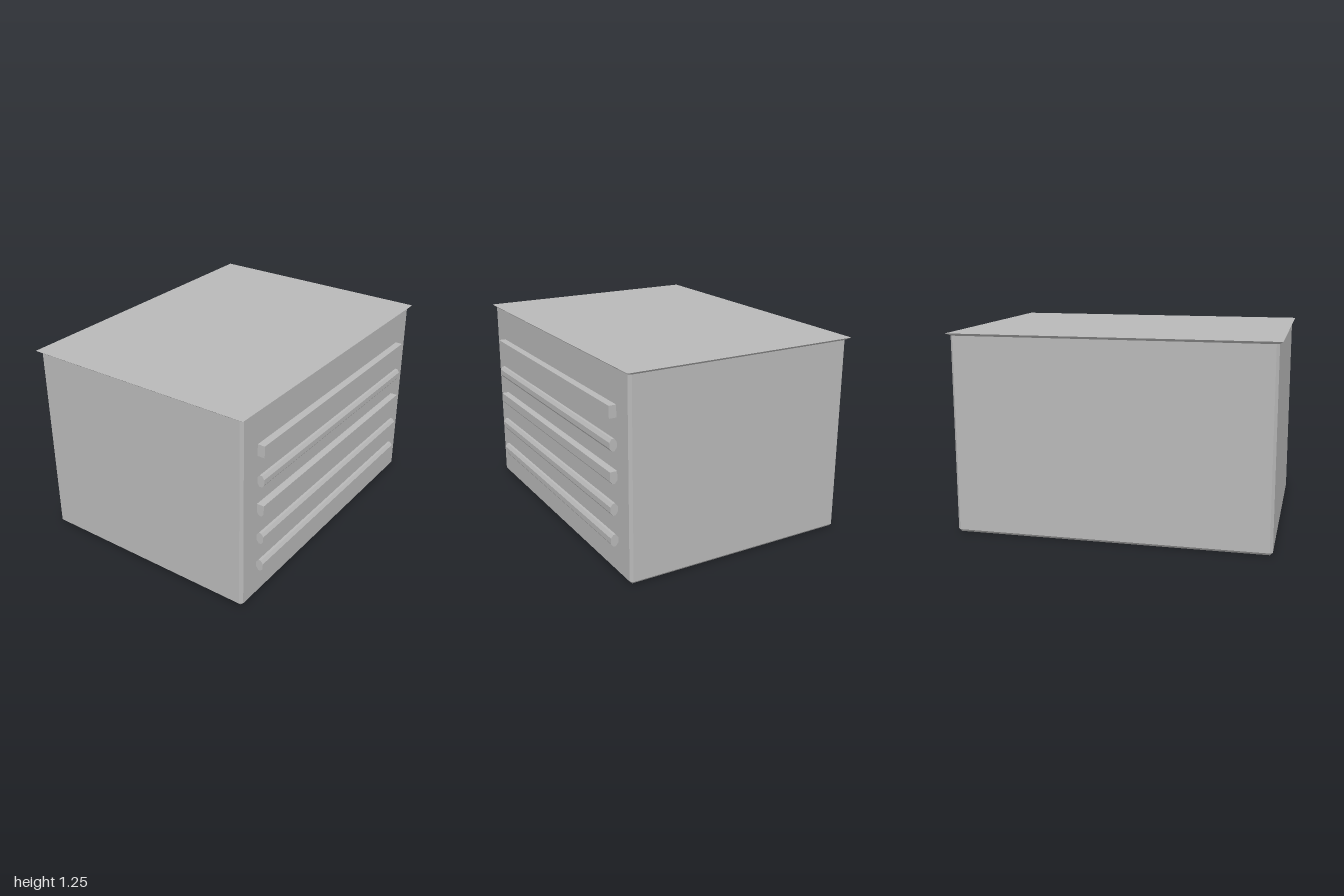
import * as THREE from 'three';

// Octagonal ring: rectangle of half sizes hx, hz with corners cut by c
function ring(hx, hz, c, y) {
  return [[hx, hz - c], [hx - c, hz], [c - hx, hz], [-hx, hz - c],
    [-hx, c - hz], [c - hx, -hz], [hx - c, -hz], [hx, c - hz]].map(([x, z]) => [x, y, z]);
}

// Flat-faced skin through the rings, from bottom to top, with optional end caps
function loft(rings, capBottom, capTop) {
  const pos = [];
  const tri = (...corners) => corners.forEach((p) => pos.push(...p));
  for (let k = 0; k < rings.length - 1; k++) {
    const a = rings[k], b = rings[k + 1];
    for (let i = 0; i < 8; i++) {
      const j = (i + 1) % 8;
      tri(a[i], b[j], a[j]);
      tri(a[i], b[i], b[j]);
    }
  }
  const lo = rings[0], hi = rings[rings.length - 1];
  for (let i = 1; i < 7; i++) {
    if (capBottom) tri(lo[0], lo[i], lo[i + 1]);
    if (capTop) tri(hi[0], hi[i + 1], hi[i]);
  }
  const g = new THREE.BufferGeometry();
  g.setAttribute('position', new THREE.Float32BufferAttribute(pos, 3));
  g.computeVertexNormals();
  return g;
}

export function createModel() {
  const model = new THREE.Group();
  const grey = new THREE.MeshStandardMaterial({ color: 0xb8b8b8 });
  grey.name = 'grey';

  const add = (name, geometry) => {
    const mesh = new THREE.Mesh(geometry, grey);
    mesh.name = name;
    model.add(mesh);
    return mesh;
  };

  // Box with bevelled upright and bottom edges
  const c = 0.017, midZ = -0.013, hx = 0.98, hz = 0.742;
  const neck = ring(hx, hz, c, 1.235);
  add('body', loft([ring(hx - c, hz - c, 0, 0), ring(hx, hz, c, c), neck], true, false)).position.z = midZ;

  // Flared top plate
  add('top', loft([neck, ring(1, 0.761, 0, 1.25)], false, true)).position.z = midZ;

  // Front slats: centre height, bevel size on the top and bottom edges
  const slats = [[0.995, 0, 0], [0.802, 0.02, 0.02], [0.608, 0, 0.018], [0.415, 0.02, 0.02], [0.222, 0.02, 0.02]];
  const back = 0.729, front = 0.775, h = 0.037, length = 1.665, inset = 0.015;
  slats.forEach(([y, top, bottom], i) => {
    const shape = new THREE.Shape();
    const dt = top ? inset : 0, db = bottom ? inset : 0;
    // Section drawn with shape x along -z
    [[-front, -h + bottom], [-front + db, -h], [-back - db, -h], [-back, -h + bottom],
      [-back, h - top], [-back - dt, h], [-front + dt, h], [-front, h - top]]
      .filter(([px, py], k, all) => {
        const [qx, qy] = all[(k + 1) % all.length];
        return px !== qx || py !== qy;
      })
      .forEach(([px, py], k) => (k ? shape.lineTo(px, py) : shape.moveTo(px, py)));
    const g = new THREE.ExtrudeGeometry(shape, { depth: length, bevelEnabled: false });
    g.translate(0, 0, -length / 2).rotateY(Math.PI / 2);
    add('slat' + (i + 1), g).position.y = y;
  });

  return model;
}
